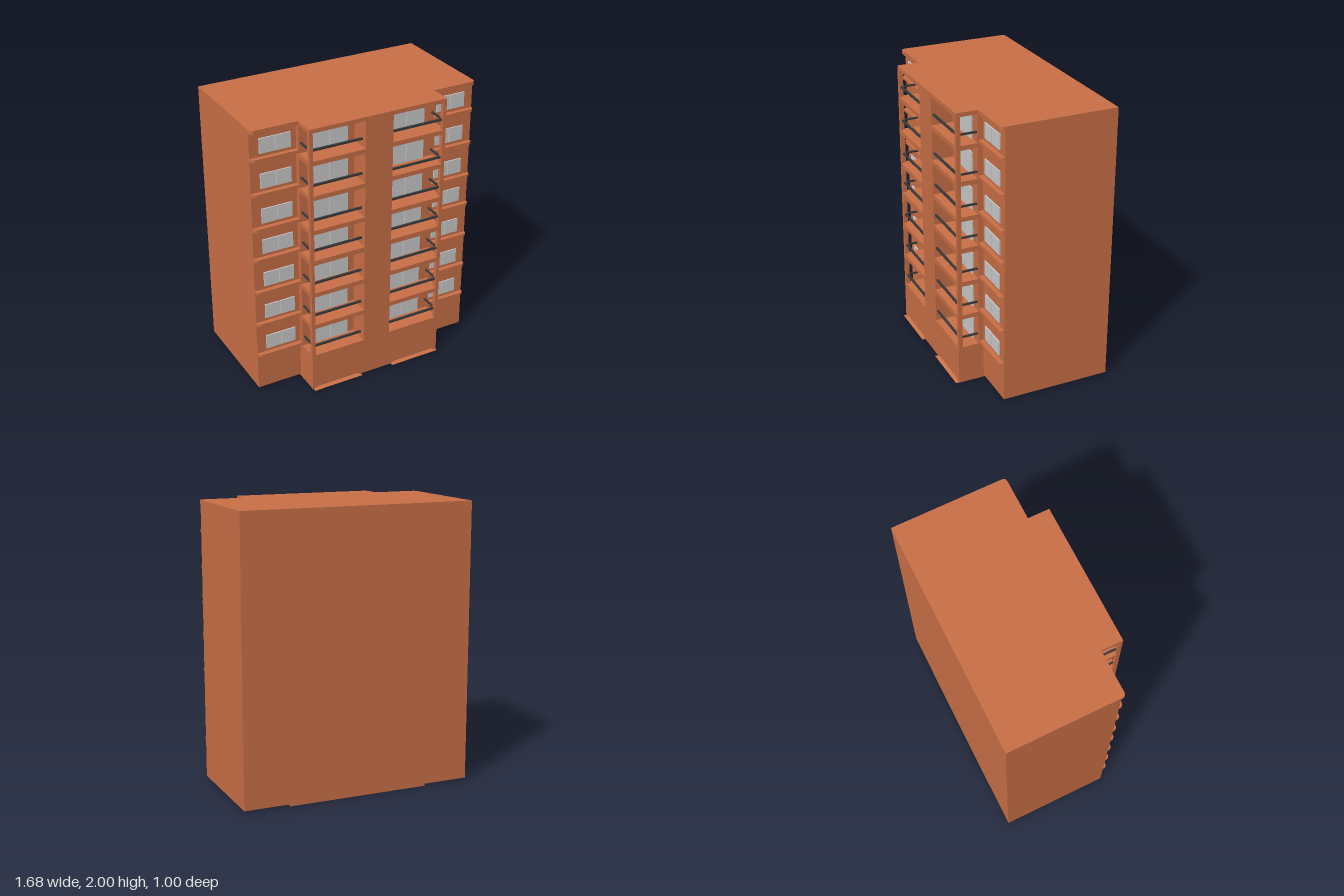
import * as THREE from 'three';
import { ConvexGeometry } from 'three/addons/geometries/ConvexGeometry.js';

export function createModel() {
  const building = new THREE.Group();
  building.name = 'apartmentBlock';
  const material = (name, color) => {
    const m = new THREE.MeshStandardMaterial({ color });
    m.name = name;
    return m;
  };
  const terracotta = material('terracotta', 0xcb7047);
  const paleGlass = material('paleGlass', 0xcccccc);
  const darkMetal = material('darkMetal', 0x3a3a3a);

  const add = (name, geometry, mat, parent = building) => {
    const mesh = new THREE.Mesh(geometry, mat);
    mesh.name = name;
    parent.add(mesh);
    return mesh;
  };
  // Box given by its extents along each axis
  const box = (name, mat, x0, x1, y0, y1, z0, z1, parent) => {
    const g = new THREE.BoxGeometry(Math.abs(x1 - x0), y1 - y0, z1 - z0);
    g.translate((x0 + x1) / 2, (y0 + y1) / 2, (z0 + z1) / 2);
    return add(name, g, mat, parent);
  };
  // Solid tapering between two rectangles [x0, x1, z0, z1] at two heights
  const taper = (name, side, low, yLow, high, yHigh, parent) => {
    const points = [];
    for (const [r, y] of [[low, yLow], [high, yHigh]])
      for (const x of [r[0], r[1]])
        for (const z of [r[2], r[3]]) points.push(new THREE.Vector3(side * x, y, z));
    return add(name, new ConvexGeometry(points), terracotta, parent);
  };
  // Slab along a wing's front with its outer corner rounded
  const wingSlab = (name, side, y0, y1, parent) => {
    const r = 0.03, x = 0.84, z = 0.323;
    const shape = new THREE.Shape();
    shape.moveTo(side * 0.5, 0.28);
    shape.lineTo(side * x, 0.28);
    shape.lineTo(side * x, z - r);
    shape.quadraticCurveTo(side * x, z, side * (x - r), z);
    shape.lineTo(side * 0.5, z);
    const g = new THREE.ExtrudeGeometry(shape, { depth: y1 - y0, bevelEnabled: false, curveSegments: 5 });
    g.rotateX(Math.PI / 2);
    g.translate(0, y1, 0);
    return add(name, g, terracotta, parent);
  };
  // Two panes side by side
  const windowPair = (name, side, x0, x1, y0, y1, z, parent) => {
    const mid = (x0 + x1) / 2;
    for (const [a, b] of [[x0, mid - 0.002], [mid + 0.002, x1]])
      box(name, paleGlass, side * a, side * b, y0, y1, z, z + 0.009, parent);
  };

  // Main masses
  box('mainBody', terracotta, -0.84, 0.84, 0.015, 2, -0.5, 0.29);
  box('centralCore', terracotta, -0.51, 0.51, 0, 2, -0.5, 0.327);
  box('centrePier', terracotta, -0.103, 0.103, 0, 2, 0.32, 0.477);

  // Each storey: floor height, opening top, chamfered soffit or not
  const storeys = [
    [0.283, 0.503, true], [0.535, 0.758, true], [0.79, 1.007, true], [1.043, 1.24, false],
    [1.272, 1.494, true], [1.526, 1.743, true], [1.775, 1.971, false],
  ];

  for (const side of [-1, 1]) {
    const half = new THREE.Group();
    half.name = side > 0 ? 'leftHalf' : 'rightHalf';
    building.add(half);

    // Solid ground storey, corner pillar and wing roof edge
    box('groundStorey', terracotta, side * 0.1, side * 0.51, 0, storeys[0][0], 0.32, 0.477, half);
    box('cornerPillar', terracotta, side * 0.485, side * 0.51, 0.2, 2, 0.447, 0.477, half);
    wingSlab('wingRoofEdge', side, 1.971, 2, half);

    storeys.forEach(([floor, top, chamfered], i) => {
      // Slab above the balcony opening
      const next = i < 6 ? storeys[i + 1][0] : 2;
      box('balconySlab', terracotta, side * 0.1, side * 0.51, top, next, 0.32, 0.477, half);
      if (chamfered)
        taper('balconySoffit', side, [0.1, 0.4, 0.325, 0.395], top - 0.024,
          [0.1, 0.508, 0.325, 0.475], top, half);

      // Balcony and wing windows
      windowPair('balconyWindow', side, 0.155, 0.43, floor, floor + 0.156, 0.327, half);
      windowPair('wingWindow', side, 0.55, 0.772, floor + 0.046, floor + 0.152, 0.29, half);
      wingSlab('wingLedge', side, floor + 0.003, floor + 0.022, half);

      // Railings along the front and outer side
      const rail = floor + (i === 5 && side > 0 ? 0.045 : 0.072);
      const [r0, r1] = side > 0 ? [0.1, 0.485] : [0.12, 0.49];
      box('frontRail', darkMetal, side * r0, side * r1, rail - 0.007, rail + 0.007, 0.453, 0.467, half);
      box('sideRail', darkMetal, side * 0.488, side * 0.5, rail - 0.006, rail + 0.006, 0.327, 0.45, half);
    });

    // Sloping entrance ramp
    taper('entranceRamp', side, [0.122, 0.505, 0.47, 0.5], 0, [0.16, 0.465, 0.47, 0.478], 0.014, half);
  }
  return building;
}
